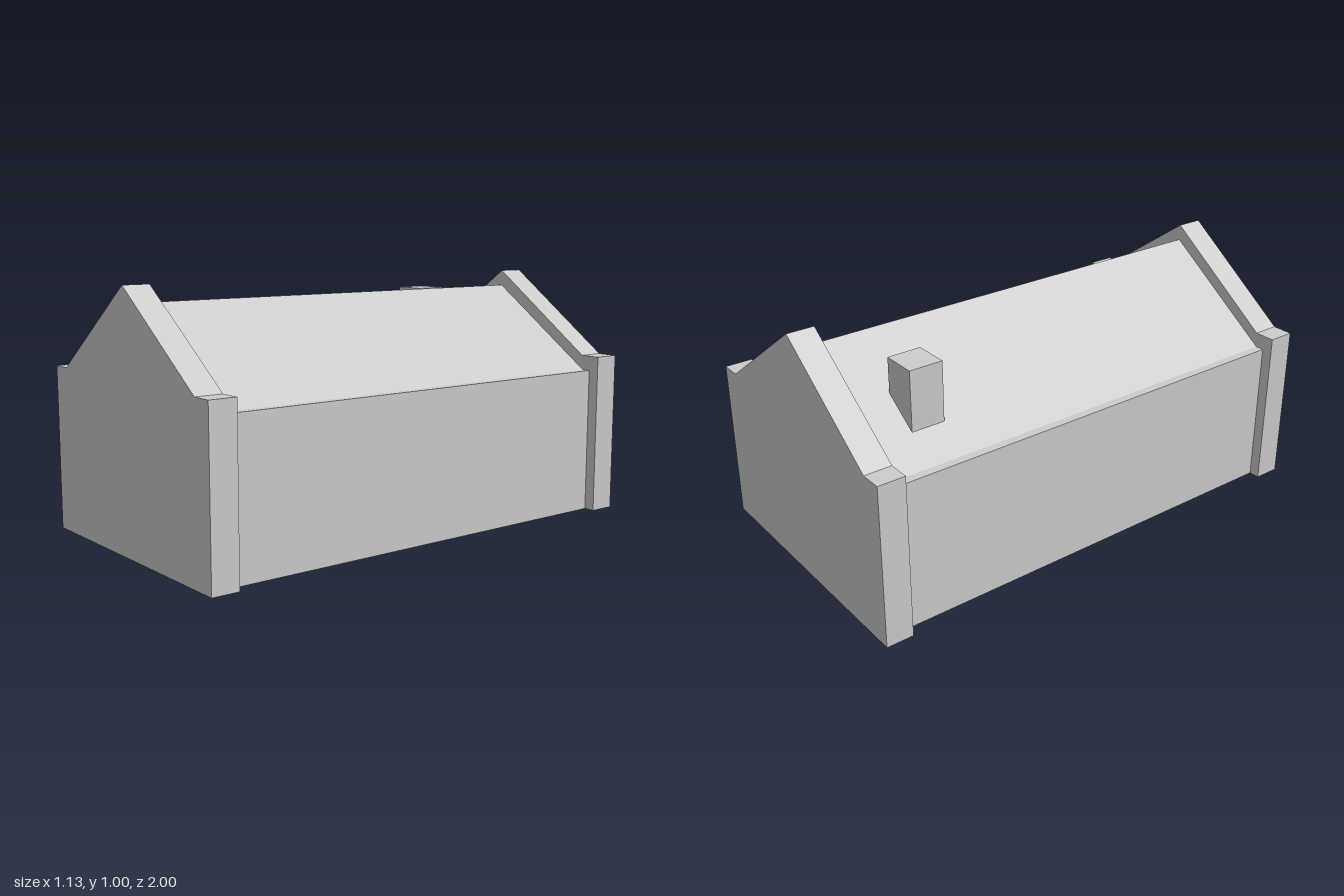
import * as THREE from 'three';

// Half outlines (x, y) from the ground up to the ridge
const HOUSE = [[0.52, 0], [0.52, 0.595], [0.485, 0.595], [0, 0.93]];
const GABLE = [[0.565, 0], [0.565, 0.655], [0.48, 0.655], [0, 0.995]];
const GABLE_IN = 0.89, GABLE_OUT = 1;

// Full outline, running from the +x foot over the ridge to the -x foot
const mirrored = (half) => [...half, ...half.slice(0, -1).reverse().map(([x, y]) => [-x, y])];

const shapeOf = (pts) => new THREE.Shape(pts.map(([x, y]) => new THREE.Vector2(x, y)));

// Open skin swept along z over an outline, one flat quad per segment
function skin(pts, z0, z1) {
  const pos = [];
  for (let i = 0; i < pts.length - 1; i++) {
    const [ax, ay] = pts[i], [bx, by] = pts[i + 1];
    pos.push(ax, ay, z1, ax, ay, z0, bx, by, z0);
    pos.push(ax, ay, z1, bx, by, z0, bx, by, z1);
  }
  const geo = new THREE.BufferGeometry();
  geo.setAttribute('position', new THREE.Float32BufferAttribute(pos, 3));
  geo.computeVertexNormals();
  return geo;
}

export function createModel() {
  const model = new THREE.Group();
  const stone = new THREE.MeshStandardMaterial({ color: 0xcccccc, side: THREE.DoubleSide });
  stone.name = 'pale grey';

  const add = (parent, name, geo) => {
    const mesh = new THREE.Mesh(geo, stone);
    mesh.name = name;
    parent.add(mesh);
    return mesh;
  };

  const house = mirrored(HOUSE);
  const gable = mirrored(GABLE);

  // Long walls, eave ledges and roof slopes: hollow, open underneath
  add(model, 'wallsAndRoof', skin(house, -GABLE_IN, GABLE_IN));

  // Raised gable ends, hollow towards the house
  for (const [name, turn] of [['frontGable', 0], ['backGable', Math.PI]]) {
    const end = new THREE.Group();
    end.name = name;
    add(end, 'gableFace', new THREE.ShapeGeometry(shapeOf(gable))).position.z = GABLE_OUT;
    add(end, 'gableCoping', skin(gable, GABLE_IN, GABLE_OUT));
    // Inner border showing around the house section, facing inwards
    const border = new THREE.ShapeGeometry(shapeOf([...gable, ...[...house].reverse()]));
    border.rotateY(Math.PI);
    add(end, 'gableInnerBorder', border).position.z = GABLE_IN;
    end.rotation.y = turn;
    model.add(end);
  }

  // Chimney, its foot cut to the roof slope
  const top = 0.915, foot = 0.6;
  const box = new THREE.BoxGeometry(0.14, top - foot, 0.135);
  box.translate(-0.295, (top + foot) / 2, -0.6675);
  const p = box.attributes.position;
  for (let i = 0; i < p.count; i++) {
    if (p.getY(i) < 0.7) p.setY(i, 0.931 - Math.abs(p.getX(i)) * (0.335 / 0.485));
  }
  box.computeVertexNormals();
  add(model, 'chimney', box);

  return model;
}
